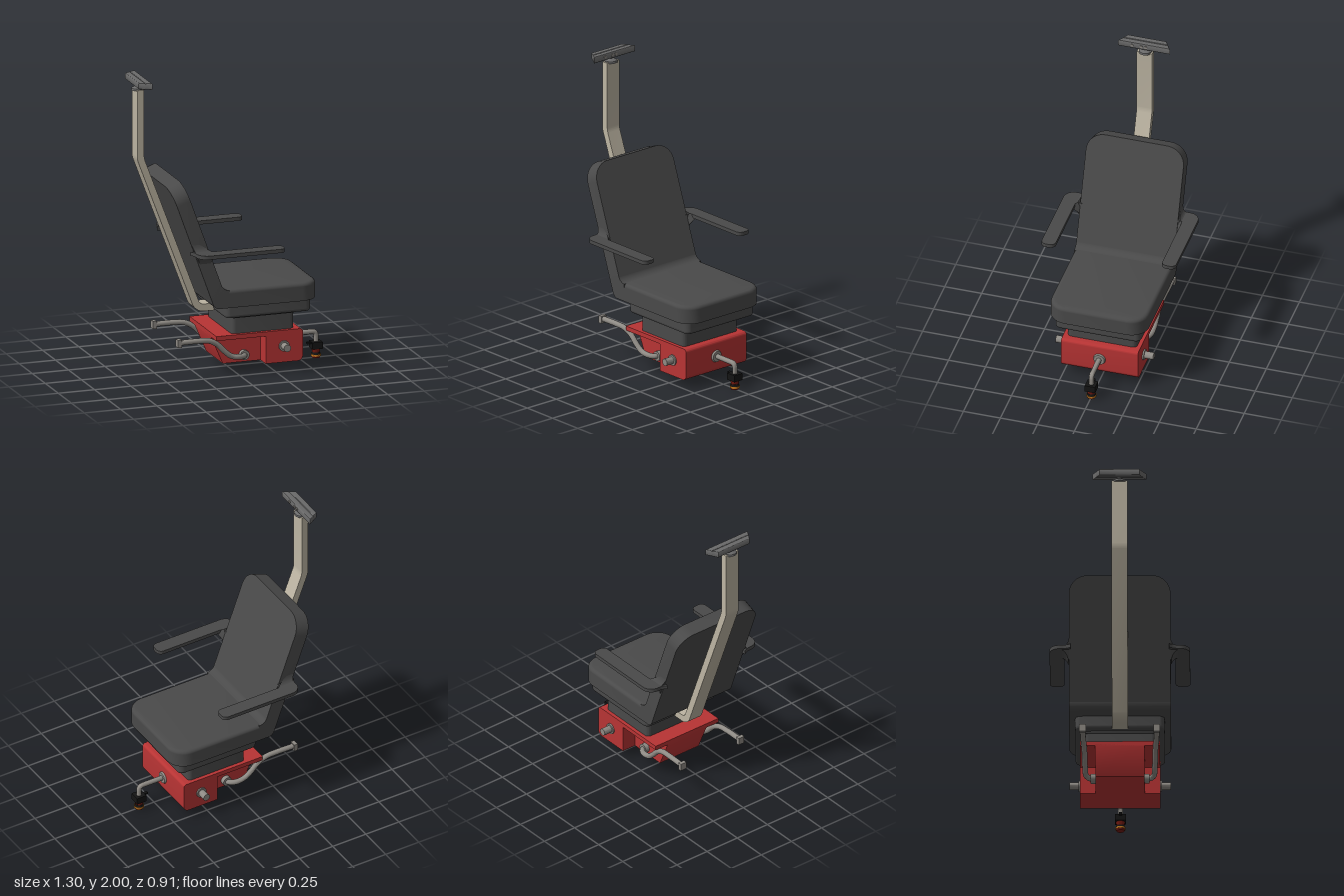
import * as THREE from 'three';
import { toCreasedNormals } from 'three/addons/utils/BufferGeometryUtils.js';

const mat = (color) => new THREE.MeshStandardMaterial({ color });
const dark = mat(0x4a4a4a), red = mat(0xb83434), steel = mat(0x8f8b85), beige = mat(0xbdb5a3);
const grey = mat(0x6a6a6a), black = mat(0x141414), lampRed = mat(0x7a1c12), orange = mat(0xc87a20);

// Shape from points [x, y, cornerRadius]
function rounded(pts) {
  const s = new THREE.Shape(), n = pts.length;
  pts.forEach(([x, y, r = 0], i) => {
    const p = new THREE.Vector2(x, y);
    const toward = (q) => new THREE.Vector2(q[0], q[1]).sub(p).setLength(r).add(p);
    const a = toward(pts[(i + n - 1) % n]), b = toward(pts[(i + 1) % n]);
    if (i === 0) s.moveTo(a.x, a.y); else s.lineTo(a.x, a.y);
    if (r > 0) {
      const k = 0.552;
      const c1 = a.clone().lerp(p, k), c2 = b.clone().lerp(p, k);
      s.bezierCurveTo(c1.x, c1.y, c2.x, c2.y, b.x, b.y);
    }
  });
  s.closePath();
  return s;
}

function extrude(shape, depth, bevel = 0) {
  return new THREE.ExtrudeGeometry(shape, {
    depth, curveSegments: 8, bevelEnabled: bevel > 0,
    bevelSize: bevel, bevelThickness: bevel, bevelOffset: -bevel, bevelSegments: 4,
  });
}

// Side profile (x, y) extruded between two z values
const side = (pts, z0, z1) => extrude(rounded(pts), z1 - z0).translate(0, 0, z0);
// Plan outline (x, z) extruded upwards from y0 to y1
const plan = (pts, y0, y1, bevel = 0) =>
  extrude(rounded(pts.map(([x, z, r]) => [x, -z, r])), y1 - y0 - 2 * bevel, bevel)
    .rotateX(-Math.PI / 2).translate(0, y0 + bevel, 0);
const rect = (x0, x1, w, rBack, rFront) =>
  [[x0, w, rBack], [x1, w, rFront], [x1, -w, rFront], [x0, -w, rBack]];

export function createModel() {
  const root = new THREE.Group();
  const add = (name, geo, material, parent = root) => {
    const m = new THREE.Mesh(toCreasedNormals(geo, 0.6), material);
    m.name = name;
    parent.add(m);
    return m;
  };
  const cyl = (r0, r1, h, x, y, z, seg = 24) =>
    new THREE.CylinderGeometry(r0, r1, h, seg).translate(x, y, z);
  const tube = (path, r) => new THREE.TubeGeometry(path, 48, r, 12);

  // Seat cushion: straight lower part and a soft upper edge
  add('seatCushion', plan(rect(-0.13, 0.525, 0.33, 0, 0.12), 0.485, 0.58), dark);
  add('seatTop', plan(rect(-0.17, 0.525, 0.33, 0, 0.12), 0.55, 0.605, 0.025), dark);
  // Curved link between seat and backrest
  add('seatRear', side([[-0.218, 0.535], [-0.2, 0.485, 0.03], [-0.1, 0.485], [-0.1, 0.604],
    [-0.14, 0.606, 0.035], [-0.165, 0.67], [-0.22, 0.62]], -0.33, 0.33), dark);

  // Reclined backrest with rounded top corners
  const back = extrude(rounded([[-0.33, -0.84], [0.33, -0.84], [0.33, 0, 0.12], [-0.33, 0, 0.12]]), 0.097);
  add('backrest', back.rotateY(Math.PI / 2).rotateZ(0.349).translate(-0.5, 1.31, 0), dark);

  // Seat underside and pedestal
  add('seatBase', plan(rect(-0.11, 0.48, 0.29, 0.04, 0.04), 0.42, 0.49), dark);
  add('seatBaseLowerEdge', plan(rect(-0.11, 0.48, 0.29, 0.04, 0.04), 0.4, 0.44, 0.018), dark);
  add('pedestal', plan(rect(-0.05, 0.38, 0.235, 0.03, 0.03), 0.27, 0.41), dark);
  add('pedestalCollar', plan(rect(-0.062, 0.392, 0.247, 0.035, 0.035), 0.388, 0.405), dark);

  // Red drive housing: wide front block, narrower rear, overhanging cover
  const housing = new THREE.Group();
  housing.name = 'housing';
  root.add(housing);
  add('frontBlock', side([[0.175, 0.065], [0.43, 0.065, 0.035], [0.43, 0.28, 0.02], [0.175, 0.28]],
    -0.26, 0.26), red, housing);
  add('rearBlock', side([[-0.085, 0.065], [0.18, 0.065], [0.18, 0.26], [-0.165, 0.26], [-0.165, 0.25]],
    -0.16, 0.16), red, housing);
  add('rearCover', side([[-0.165, 0.25], [0.175, 0.25], [0.175, 0.28], [-0.165, 0.28]],
    -0.26, 0.26), red, housing);

  for (const s of [1, -1]) {
    const tag = s > 0 ? 'left' : 'right';
    // Armrest pad with its curved joint at the backrest
    add(tag + 'Armrest', plan([[-0.365, s * 0.32], [-0.345, s * 0.35, 0.02], [-0.345, s * 0.455, 0.07],
      [0.245, s * 0.455, 0.035], [0.245, s * 0.36, 0.035], [-0.24, s * 0.36, 0.01],
      [-0.24, s * 0.32]].slice()[s > 0 ? 'slice' : 'reverse'](), 0.86, 0.885), dark);
    // Flared gusset under the armrest, following the recline
    const gusset = new THREE.Shape();
    gusset.moveTo(0.31, 0.8);
    gusset.lineTo(0.335, 0.8);
    gusset.quadraticCurveTo(0.345, 0.85, 0.39, 0.865);
    gusset.lineTo(0.355, 0.885);
    gusset.quadraticCurveTo(0.335, 0.895, 0.33, 0.93);
    gusset.lineTo(0.31, 0.93);
    const g = extrude(gusset, 0.1).rotateY(-Math.PI / 2); // local x runs to z, depth to -x
    const p = g.attributes.position;
    for (let i = 0; i < p.count; i++) {
      const y = p.getY(i), front = p.getX(i) > -0.05;
      const x = front ? (y < 0.866 ? -0.23 + (y - 0.8) * 0.5 : -0.2 - (y - 0.865) * 1.6)
        : -0.305 - (y - 0.8) * 0.42;
      p.setX(i, x);
    }
    g.computeVertexNormals();
    const gm = add(tag + 'ArmGusset', g, dark);
    gm.scale.z = s;

    // Bent footrest bar with boss and end cap
    const bar = new THREE.CatmullRomCurve3([
      [0.06, 0.115, 0.15], [0.052, 0.115, 0.195], [0.01, 0.117, 0.22], [-0.05, 0.13, 0.225],
      [-0.1, 0.17, 0.228], [-0.15, 0.22, 0.23], [-0.21, 0.25, 0.235], [-0.28, 0.256, 0.238],
      [-0.41, 0.256, 0.24],
    ].map(([x, y, z]) => new THREE.Vector3(x, y, s * z)));
    add(tag + 'FootBar', tube(bar, 0.018), steel);
    add(tag + 'FootBarCap', new THREE.BoxGeometry(0.026, 0.05, 0.045).translate(-0.417, 0.254, s * 0.24), steel);
    const across = (r, h, x, y, z) => new THREE.CylinderGeometry(r, r, h, 24)
      .rotateX(Math.PI / 2).translate(x, y, s * z);
    add(tag + 'FootBarBoss', across(0.032, 0.04, 0.057, 0.115, 0.17), steel);
    // Side stub axle
    add(tag + 'Stub', across(0.024, 0.09, 0.3, 0.175, 0.285), steel);
    add(tag + 'StubCollar', across(0.036, 0.012, 0.3, 0.175, 0.264), steel);
  }

  // Bent rear post
  add('post', side([[-0.1, 0.398], [-0.235, 0.398, 0.055], [-0.635, 1.46, 0.02], [-0.635, 1.925],
    [-0.588, 1.925], [-0.588, 1.466, 0.02], [-0.203, 0.446, 0.025], [-0.1, 0.446]], -0.052, 0.052), beige);

  // Sensor bar on a swivel foot
  const sensor = new THREE.Group();
  sensor.name = 'sensor';
  root.add(sensor);
  add('sensorFoot', cyl(0.042, 0.044, 0.014, -0.612, 1.925, 0), grey, sensor);
  add('sensorFootTop', cyl(0.018, 0.04, 0.014, -0.612, 1.938, 0), grey, sensor);
  add('sensorNeck', cyl(0.012, 0.012, 0.03, -0.612, 1.95, 0), grey, sensor);
  const w = (x) => 0.13 + (x + 0.653) * 0.58;
  const slab = (a, b, y0, y1, bevel) =>
    plan([[a, w(a)], [b, w(b)], [b, -w(b)], [a, -w(a)]], y0, y1, bevel);
  add('sensorRear', slab(-0.653, -0.615, 1.957, 2, 0.006), grey, sensor);
  add('sensorFront', slab(-0.613, -0.575, 1.957, 2, 0.006), grey, sensor);
  add('sensorCore', slab(-0.64, -0.585, 1.963, 1.994, 0), grey, sensor);
  for (const z of [0.08, 0.018, -0.012]) {
    add('lens', new THREE.CylinderGeometry(0.01, 0.01, 0.006, 16)
      .rotateZ(Math.PI / 2).translate(-0.574, 1.979, z), steel, sensor);
  }

  // Front arm bending down to the lamp
  const V = (x, y) => new THREE.Vector3(x, y, 0);
  const arm = new THREE.CurvePath();
  arm.add(new THREE.LineCurve3(V(0.42, 0.175), V(0.585, 0.175)));
  arm.add(new THREE.QuadraticBezierCurve3(V(0.585, 0.175), V(0.613, 0.175), V(0.613, 0.147)));
  arm.add(new THREE.LineCurve3(V(0.613, 0.147), V(0.613, 0.09)));
  add('lampArm', tube(arm, 0.017), steel);
  add('lampArmCollar', new THREE.CylinderGeometry(0.036, 0.042, 0.014, 24)
    .rotateZ(-Math.PI / 2).translate(0.435, 0.175, 0), steel);
  add('lampBracket', new THREE.BoxGeometry(0.07, 0.046, 0.07).translate(0.613, 0.085, 0), black);
  add('lampTab', new THREE.BoxGeometry(0.06, 0.012, 0.02).translate(0.58, 0.1, 0), black);
  add('lampBody', cyl(0.03, 0.024, 0.03, 0.613, 0.05, 0), lampRed);
  add('lampSkirt', cyl(0.026, 0.03, 0.014, 0.613, 0.03, 0), black);
  add('lampRing', cyl(0.033, 0.033, 0.012, 0.613, 0.017, 0), orange);
  add('lampTip', cyl(0.03, 0.026, 0.012, 0.613, 0.006, 0), lampRed);

  return root;
}
